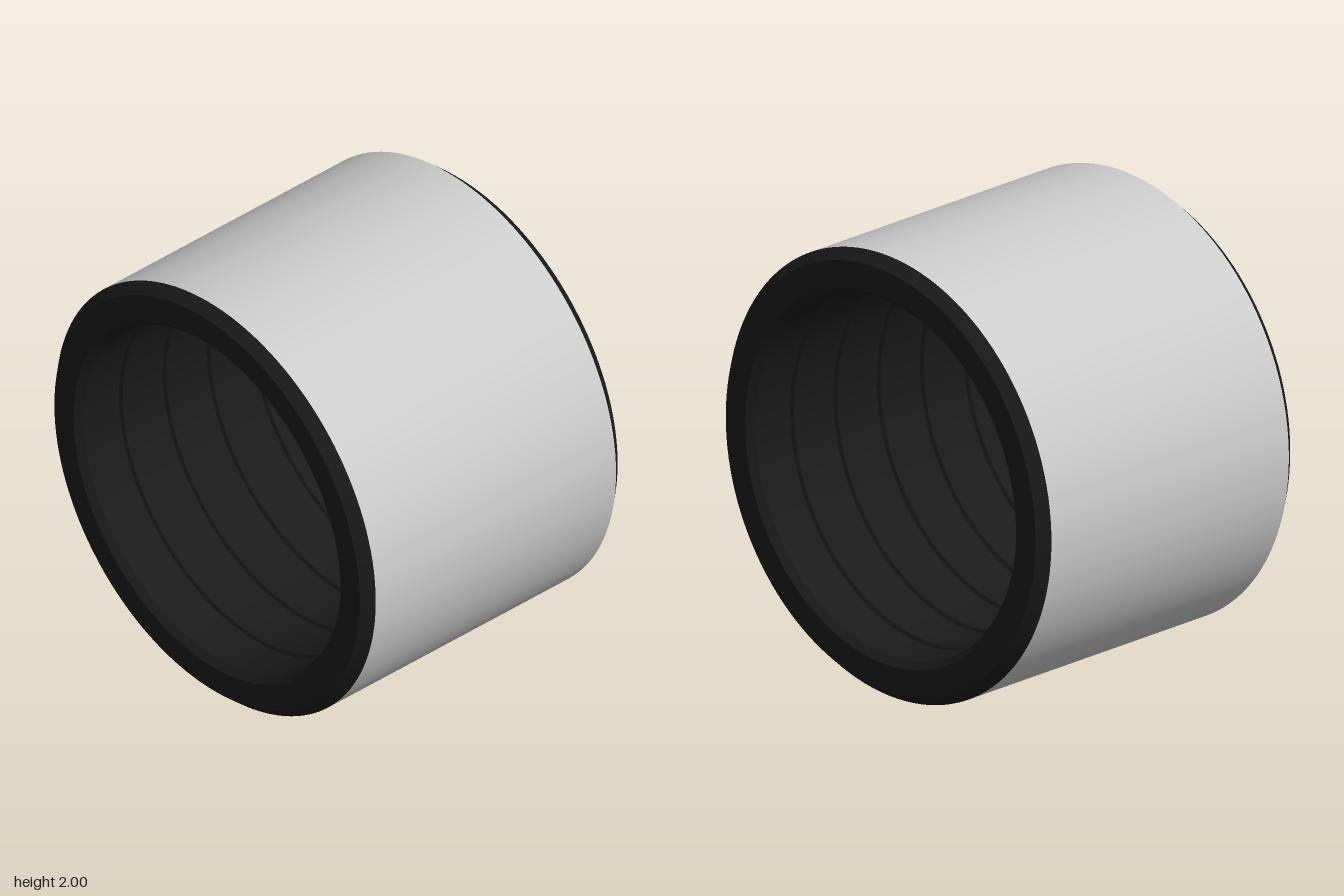
import * as THREE from 'three';
import { mergeGeometries } from 'three/addons/utils/BufferGeometryUtils.js';

const SEGMENTS = 128;
const HALF = 0.735;      // half length along the axis
const SHOULDER = 0.685;  // where the outer chamfers start
const BORE = 0.805;      // inner radius

// Revolve each profile segment on its own so every edge stays sharp.
function revolve(points) {
  const bands = [];
  for (let i = 0; i + 1 < points.length; i++) {
    bands.push(new THREE.LatheGeometry([points[i], points[i + 1]], SEGMENTS));
  }
  return mergeGeometries(bands).rotateZ(-Math.PI / 2);
}

function part(name, points, color) {
  const mesh = new THREE.Mesh(revolve(points), new THREE.MeshStandardMaterial({ color }));
  mesh.name = name;
  return mesh;
}

export function createModel() {
  const p = (r, x) => new THREE.Vector2(r, x);

  // Outer metal sleeve
  const sleeve = part('outerSleeve', [p(1, -SHOULDER), p(1, SHOULDER)], 0xcccccc);

  // Dark liner: chamfered end, grooved bore, chamfered end
  const profile = [p(1, SHOULDER), p(0.955, HALF), p(0.835, HALF), p(BORE, HALF - 0.03)];
  for (const x of [0.5, 0.25, 0, -0.25, -0.5]) {
    profile.push(p(BORE, x + 0.018), p(BORE + 0.018, x + 0.012),
      p(BORE + 0.018, x - 0.012), p(BORE, x - 0.018));
  }
  profile.push(p(BORE, -HALF + 0.03), p(0.835, -HALF), p(0.955, -HALF), p(1, -SHOULDER));
  const liner = part('groovedLiner', profile, 0x1a1a1a);

  const group = new THREE.Group();
  group.name = 'bushing';
  group.add(sleeve, liner);
  for (const mesh of group.children) mesh.position.y = 1;
  return group;
}
